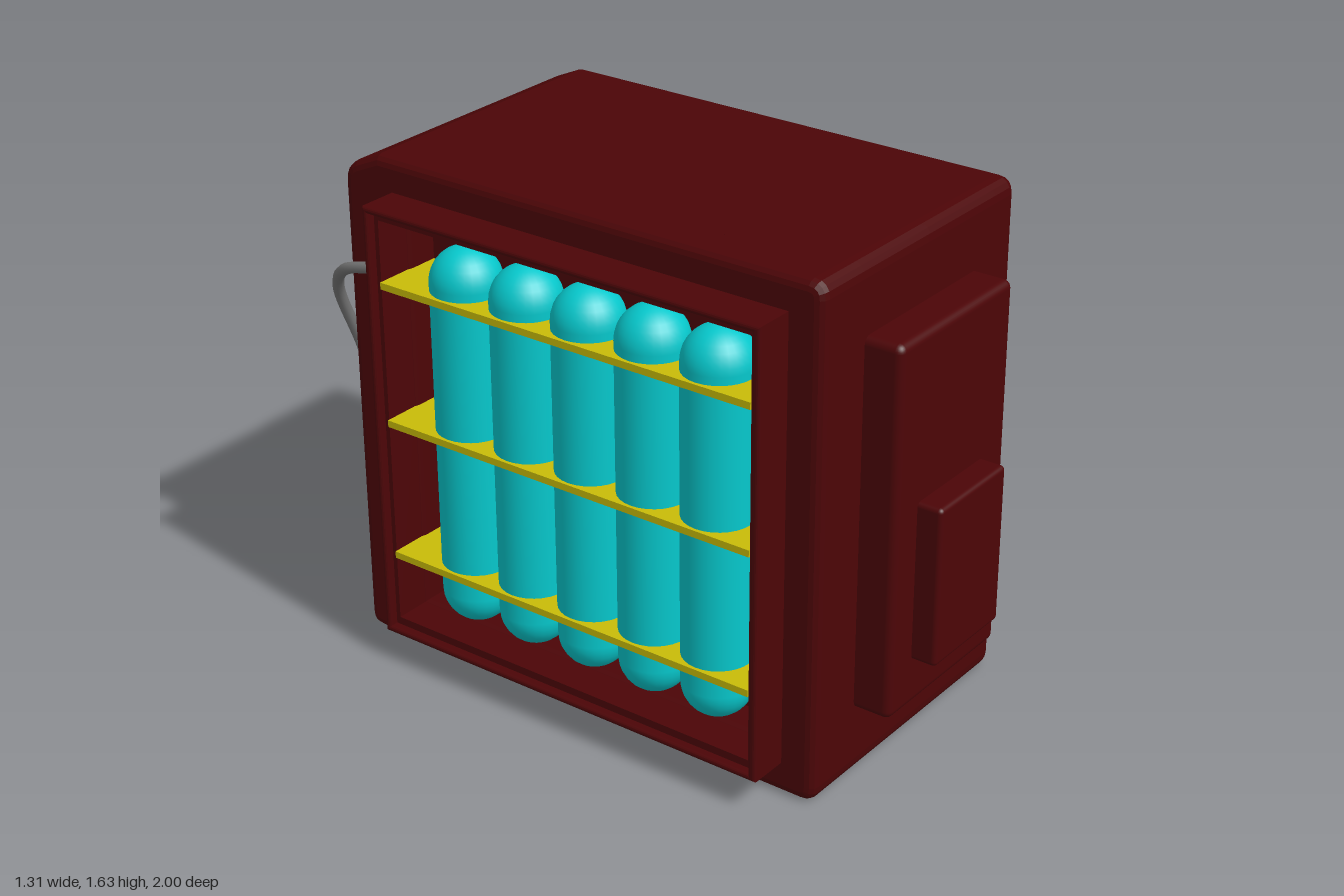
import * as THREE from 'three';
import { RoundedBoxGeometry } from 'three/addons/geometries/RoundedBoxGeometry.js';

const mat = (color) => new THREE.MeshStandardMaterial({ color });

export function createModel() {
  const root = new THREE.Group();
  const red = mat(0x4c0507), cyan = mat(0x06c8cc), yellow = mat(0xc8bc08), green = mat(0x06a00c), grey = mat(0x757575);

  const add = (name, geo, material, x = 0, y = 0, z = 0, parent = root) => {
    const m = new THREE.Mesh(geo, material);
    m.name = name;
    m.position.set(x, y, z);
    parent.add(m);
    return m;
  };
  const group = (name) => {
    const g = new THREE.Group();
    g.name = name;
    root.add(g);
    return g;
  };
  const rect = (a0, b0, a1, b1, C = THREE.Shape) =>
    new C([[a0, b0], [a1, b0], [a1, b1], [a0, b1]].map((p) => new THREE.Vector2(...p)));

  // Slab with a (z, y) outline running from x0 to x1, optionally bevelled
  const slab = (shape, x0, x1, b = 0) => {
    const g = new THREE.ExtrudeGeometry(shape, {
      depth: x1 - x0 - 2 * b, bevelEnabled: b > 0, bevelThickness: b, bevelSize: b,
      bevelOffset: -b, bevelSegments: 3, curveSegments: 4,
    });
    return g.rotateY(-Math.PI / 2).translate(x1 - b, 0, 0);
  };

  // Side outline of the case: rounded corners, sloped upper back, optional notch for the rear bay
  const outline = (notch, hole) => {
    const s = new THREE.Shape();
    s.moveTo(-0.868, 0.004);
    s.lineTo(0.75, 0.004);
    s.quadraticCurveTo(0.8, 0.004, 0.8, 0.054);
    s.lineTo(0.8, 1.582);
    s.quadraticCurveTo(0.8, 1.632, 0.75, 1.632);
    s.lineTo(-0.78, 1.632);
    s.lineTo(-0.87, 1.592);
    s.quadraticCurveTo(-0.915, 1.57, -0.915, 1.52);
    if (notch) for (const p of [[-0.915, 0.44], [-0.76, 0.44], [-0.76, 0.1], [-0.915, 0.1]]) s.lineTo(...p);
    s.lineTo(-0.915, 0.054);
    s.quadraticCurveTo(-0.915, 0.004, -0.868, 0.004);
    if (hole) s.holes.push(rect(-0.68, 0.16, 0.64, 1.48, THREE.Path));
    return s;
  };
  const body = group('caseBody');
  const put = (name, geo) => add(name, geo, red, 0, 0, 0, body);
  put('leftWall', slab(outline(false, true), -0.523, -0.3, 0.03));
  put('core', slab(outline(false, false), -0.4, 0));
  put('leftFill', slab(outline(false, true), -0.48, -0.39));
  put('rearBayCore', slab(outline(true, false), -0.01, 0.345));
  put('rearBayRing', slab(outline(true, true), 0.335, 0.41));
  put('rightWall', slab(outline(false, true), 0.36, 0.453, 0.03));

  // Raised side frames with a stepped inner lip
  const frame = (outer, inner) => {
    const s = rect(...outer);
    s.holes.push(rect(...inner, THREE.Path));
    return s;
  };
  const outer = frame([-0.72, 0.11, 0.69, 1.53], [-0.7, 0.13, 0.665, 1.51]);
  const lip = frame([-0.71, 0.12, 0.68, 1.52], [-0.685, 0.155, 0.645, 1.485]);
  put('rightFrame', slab(outer, 0.36, 0.56, 0.009));
  put('rightLip', slab(lip, 0.33, 0.535));
  put('leftFrame', slab(outer, -0.655, -0.44, 0.009));
  put('leftLip', slab(lip, -0.625, -0.4));

  // Stepped front panels
  add('frontPanel', new RoundedBoxGeometry(0.58, 1.18, 0.2, 3, 0.025), red, -0.03, 0.82, 0.82);
  add('frontSmallPanel', new RoundedBoxGeometry(0.345, 0.51, 0.16, 3, 0.015), red, -0.0375, 0.64, 0.92);

  // Right bay: two upright pipes and three handle-shaped pipes
  const pipes = group('rightBayPipes');
  for (const z of [0.565, -0.595])
    add('uprightPipe', new THREE.CylinderGeometry(0.04, 0.04, 1.33, 24), cyan, 0.445, 0.82, z, pipes);
  const V = (x, y, z) => new THREE.Vector3(x, y, z);
  const hx = 0.45;
  for (const [y, z0, z1] of [[1.335, 0.31, -0.37], [0.92, 0.475, -0.21], [0.415, 0.22, -0.46]]) {
    const path = new THREE.CurvePath();
    path.add(new THREE.LineCurve3(V(0.33, y, z0), V(hx - 0.05, y, z0)));
    path.add(new THREE.QuadraticBezierCurve3(V(hx - 0.05, y, z0), V(hx, y, z0), V(hx, y, z0 - 0.05)));
    path.add(new THREE.LineCurve3(V(hx, y, z0 - 0.05), V(hx, y, z1 + 0.05)));
    path.add(new THREE.QuadraticBezierCurve3(V(hx, y, z1 + 0.05), V(hx, y, z1), V(hx - 0.05, y, z1)));
    path.add(new THREE.LineCurve3(V(hx - 0.05, y, z1), V(0.33, y, z1)));
    add('bentPipe', new THREE.TubeGeometry(path, 90, 0.045, 16), cyan, 0, 0, 0, pipes);
  }

  // Left bay: five round-ended tanks held by three shelves
  const tanks = group('leftBayTanks');
  for (let i = 0; i < 5; i++)
    add('tank', new THREE.CapsuleGeometry(0.11, 1.015, 8, 28), cyan, -0.51, 0.8075, (i - 2) * 0.2275, tanks);
  for (const y of [1.28, 0.83, 0.38])
    add('shelf', new THREE.BoxGeometry(0.235, 0.022, 1.33), yellow, -0.513, y, -0.02, tanks);

  // Rear bay pipes
  for (const x of [0.315, 0.19, 0.065])
    add('rearPipe', new THREE.CylinderGeometry(0.032, 0.032, 0.34, 20), cyan, x, 0.27, -0.83);

  // Rear panels, indicator lights and knob
  const slotPanel = rect(-0.02, 1.225, 0.26, 1.37);
  slotPanel.holes.push(rect(0.03, 1.3, 0.22, 1.335, THREE.Path));
  add('slotPanel', new THREE.ExtrudeGeometry(slotPanel, { depth: 0.03, bevelEnabled: false }), red, 0, 0, -0.924);
  add('rearPanel', new THREE.BoxGeometry(0.28, 0.19, 0.04), red, -0.3, 1.345, -0.907);
  const disc = (name, r, len, material, x, y, z) =>
    add(name, new THREE.CylinderGeometry(r, r, len, 24).rotateX(Math.PI / 2), material, x, y, z);
  for (const [x, y, z] of [[0.01, 1.28, -0.92], [-0.38, 1.32, -0.925], [-0.2, 0.365, -0.915], [-0.2, 0.305, -0.915], [-0.2, 0.245, -0.915]])
    disc('indicatorLight', 0.012, 0.025, green, x, y, z);
  disc('knobBase', 0.06, 0.02, yellow, -0.36, 0.205, -0.92);
  disc('knobStem', 0.028, 0.08, green, -0.36, 0.205, -0.94);
  disc('knob', 0.04, 0.045, green, -0.36, 0.205, -0.9775);

  // Side socket under the cable loop
  add('socketBase', new THREE.CylinderGeometry(0.05, 0.05, 0.02, 24).rotateZ(Math.PI / 2), yellow, 0.46, 0.485, -0.815);
  add('socketPin', new THREE.CylinderGeometry(0.024, 0.024, 0.06, 20).rotateZ(Math.PI / 2), green, 0.47, 0.495, -0.815);

  // Cables, points as [x, y, z]
  const cable = (name, r, pts) => {
    const curve = new THREE.CatmullRomCurve3(pts.map((p) => V(...p)), false, 'centripetal');
    add(name, new THREE.TubeGeometry(curve, pts.length * 10, r, 10), grey);
  };
  cable('loopCable', 0.021, [
    [0.44, 1.48, 0.47], [0.42, 1.22, 0.42], [0.37, 0.95, 0.29], [0.37, 0.84, 0.25], [0.4, 0.65, 0.12],
    [0.4, 0.57, -0.07], [0.38, 0.5, -0.19], [0.38, 0.41, -0.225], [0.46, 0.31, -0.235], [0.53, 0.225, -0.28],
    [0.585, 0.145, -0.47], [0.575, 0.065, -0.61], [0.6, 0.145, -0.69], [0.585, 0.39, -0.72], [0.52, 0.535, -0.81],
    [0.53, 0.41, -0.89], [0.5, 0.2, -0.935], [0.44, 0.125, -0.945], [0.4, 0.09, -0.945], [0.3, 0.09, -0.945], [0.22, 0.12, -0.9],
  ]);
  cable('longCable', 0.018, [
    [0.4, 1.48, 0.085], [0.37, 1.32, 0.08], [0.38, 1.16, 0.01], [0.42, 0.98, -0.31], [0.42, 0.87, -0.33],
    [0.41, 0.65, -0.18], [0.38, 0.52, -0.26], [0.38, 0.41, -0.39], [0.51, 0.28, -0.47], [0.59, 0.145, -0.6],
    [0.635, 0.105, -0.77], [0.56, 0.13, -0.91], [0.46, 0.155, -0.975], [0.27, 0.1, -0.95], [0.1, 0.11, -0.945],
    [-0.04, 0.25, -0.945], [-0.14, 0.45, -0.95], [-0.37, 0.77, -0.97], [-0.43, 0.95, -0.975],
    [-0.53, 1.17, -0.955], [-0.585, 1.27, -0.87], [-0.6, 1.32, -0.71],
  ]);
  cable('thinCable', 0.012, [
    [0.45, 1.48, 0.375], [0.44, 1.32, 0.385], [0.4, 1.08, 0.25], [0.38, 0.95, 0.1],
    [0.41, 0.79, 0.05], [0.41, 0.57, 0.1], [0.38, 0.42, 0.085], [0.46, 0.26, 0.045], [0.49, 0.17, -0.045],
  ]);
  return root;
}
